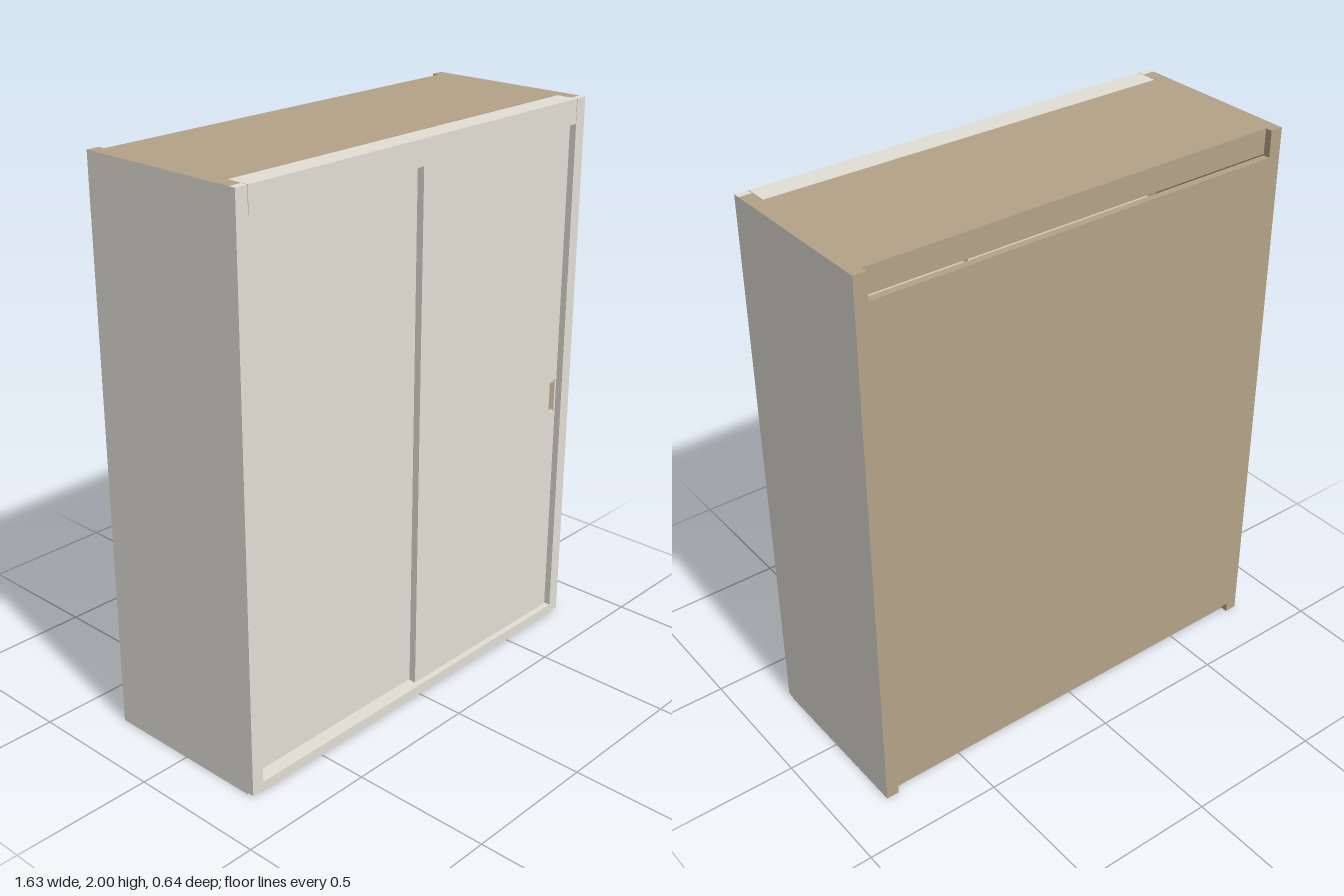
import * as THREE from 'three';

export function createModel() {
  const group = new THREE.Group();
  const grey = new THREE.MeshStandardMaterial({ color: 0xe3e0d6 });
  grey.name = 'warm grey laminate';
  const tan = new THREE.MeshStandardMaterial({ color: 0xb3a388 });
  tan.name = 'tan board';

  // Box given by its limits on each axis
  function box(name, x0, x1, y0, y1, z0, z1, material) {
    const mesh = new THREE.Mesh(new THREE.BoxGeometry(x1 - x0, y1 - y0, z1 - z0), material);
    mesh.position.set((x0 + x1) / 2, (y0 + y1) / 2, (z0 + z1) / 2);
    mesh.name = name;
    group.add(mesh);
  }

  const W = 0.816, IN = 0.77, D = 0.32, H = 2;
  const SILL = 0.037, HEAD = 1.912, LIP = 0.295, RAIL = 0.235;

  // Side panels: raw board edges, laminated outside and around the door opening
  for (const s of [-1, 1]) {
    const side = s > 0 ? 'left' : 'right';
    const x0 = s > 0 ? IN : -W, x1 = s > 0 ? W : -IN;
    const rear = s > 0 ? [grey, tan, tan, tan, tan, tan] : [tan, grey, tan, tan, tan, tan];
    box(side + 'SidePanel', x0, x1, 0, H, -D, 0.2, rear);
    box(side + 'SideJamb', x0, x1, 0, H, 0.2, LIP, [grey, grey, tan, tan, grey, tan]);
    box(side + 'FrontEdging', x0, x1, 0.006, H, LIP, D, grey);
  }

  // Top and bottom boards, set in from the back
  box('topBoard', -IN, IN, HEAD, H, -LIP, RAIL, tan);
  box('bottomBoard', -IN, IN, 0, SILL, -LIP, RAIL, tan);
  box('backPanel', -IN, IN, SILL, 1.907, -D, -LIP, tan);

  // Front rails
  box('headRail', -IN + 0.002, IN - 0.002, HEAD + 0.001, H, RAIL + 0.003, D, grey);
  box('sillRail', -IN, IN, 0, SILL, RAIL, D, grey);

  // Sliding door with a shallow pocket for the finger pull
  function door(name, x0, x1, front, pullX) {
    const thick = 0.026, px = 0.015, py0 = 0.85, py1 = 0.975;
    const shape = new THREE.Shape();
    shape.moveTo(x0, SILL).lineTo(x1, SILL);
    shape.lineTo(x1, HEAD - 0.003).lineTo(x0, HEAD - 0.003).closePath();
    const hole = new THREE.Path();
    hole.moveTo(pullX - px, py0).lineTo(pullX - px, py1);
    hole.lineTo(pullX + px, py1).lineTo(pullX + px, py0).closePath();
    shape.holes.push(hole);
    const panel = new THREE.Mesh(
      new THREE.ExtrudeGeometry(shape, { depth: thick, bevelEnabled: false }), grey);
    panel.position.z = front - thick;
    panel.name = name;
    group.add(panel);
    box(name + 'PullBase', pullX - px, pullX + px, py0, py1, front - thick, front - 0.005, grey);
    box(name + 'PullInset', pullX - 0.012, pullX + 0.012, py0 + 0.01, py1 - 0.01,
      front - 0.005, front - 0.002, tan);
  }
  // The left door slides in front of the right one
  door('rightDoor', -IN + 0.003, 0.03, 0.268, -0.742);
  door('leftDoor', 0, IN - 0.004, 0.298, 0.742);

  return group;
}
